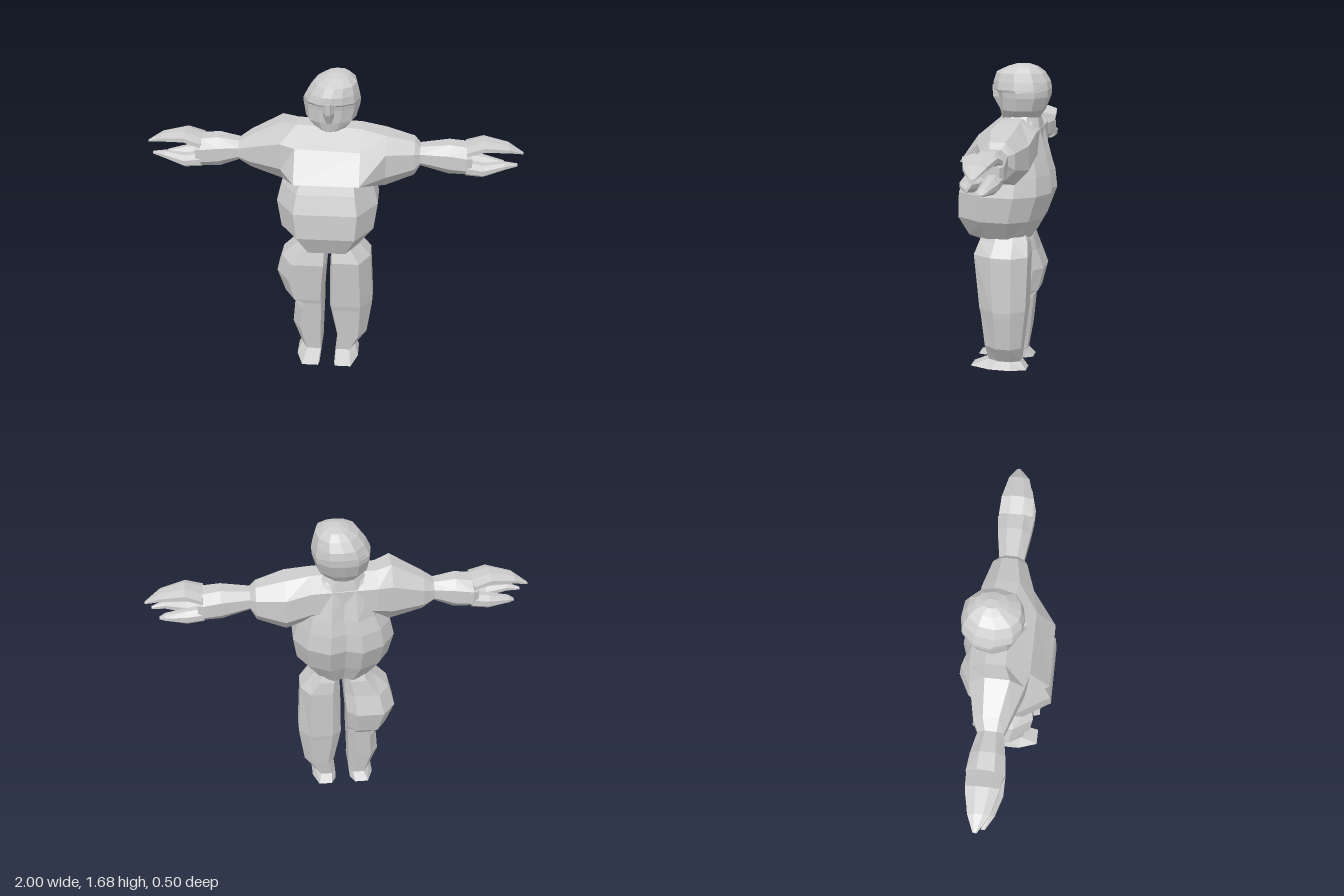
import * as THREE from 'three';

// Unit cross-sections; each point is [a, b] in -1..1
const chamfer = (c) => [[c, 1], [1, c], [1, -c], [c, -1], [-c, -1], [-1, -c], [-1, c], [-c, 1]];
const OCT = chamfer(0.45);
const FINGER = chamfer(0.4);
const CHEST = [[0.35, 0.5], [1, -0.1], [1, -0.6], [0.5, -1], [-0.5, -1], [-1, -0.7], [-1, 0.8], [-0.85, 1]];
const TORSO = [[0.62, 1], [1, 0.35], [1, -0.3], [0.75, -0.75], [0.32, -1], [0, -0.88],
  [-0.32, -1], [-0.75, -0.75], [-1, -0.3], [-1, 0.35], [-0.62, 1]];
const HEAD = [[0.4, 0.93], [0.82, 0.68], [1, 0.1], [0.88, -0.55], [0.45, -0.95], [-0.05, -1],
  [-0.5, -0.93], [-0.9, -0.5], [-1, 0.1], [-0.8, 0.68], [-0.4, 0.95], [0, 1]];
// Leg section: flat front and inner side, faceted outer side (s = outer direction)
const legSection = (s) => [[0.45, 1], [1, 0.3], [1, -0.45], [0.5, -1], [-0.6, -1], [-1, -0.7], [-1, 0.8], [-0.9, 1]]
  .map(([a, b]) => [a * s, b]);

// Faceted skin through rings [t, aMin, aMax, bMin, bMax, section?] along 'x' (a=y, b=z) or 'y' (a=x, b=z)
function loft(axis, section, rings) {
  const pos = [], idx = [], n = section.length, last = (rings.length - 1) * n;
  const put = (t, a, b) => (axis === 'x' ? pos.push(t, a, b) : pos.push(a, t, b));
  for (const [t, a0, a1, b0, b1, own] of rings)
    for (const [a, b] of own || section)
      put(t, (a0 + a1) / 2 + (a * (a1 - a0)) / 2, (b0 + b1) / 2 + (b * (b1 - b0)) / 2);
  for (let r = 0; r < last; r += n)
    for (let i = 0; i < n; i++) {
      const j = (i + 1) % n;
      idx.push(r + i, r + j, r + n + j, r + i, r + n + j, r + n + i);
    }
  for (let i = 1; i < n - 1; i++) idx.push(0, i + 1, i, last, last + i, last + i + 1);
  // Turn the faces outward when the signed volume is negative
  const v = (i) => new THREE.Vector3().fromArray(pos, i * 3);
  let volume = 0;
  for (let i = 0; i < idx.length; i += 3) volume += v(idx[i]).dot(v(idx[i + 1]).cross(v(idx[i + 2])));
  if (volume < 0) idx.reverse();
  const indexed = new THREE.BufferGeometry();
  indexed.setAttribute('position', new THREE.Float32BufferAttribute(pos, 3));
  indexed.setIndex(idx);
  const geometry = indexed.toNonIndexed();
  geometry.computeVertexNormals();
  return geometry;
}

export function createModel() {
  const model = new THREE.Group();
  model.name = 'figure';
  const grey = new THREE.MeshStandardMaterial({ color: 0xcccccc });
  grey.name = 'light grey';
  const add = (name, axis, section, rings) => {
    const mesh = new THREE.Mesh(loft(axis, section, rings), grey);
    mesh.name = name;
    model.add(mesh);
  };

  // Round belly and grooved back
  add('torso', 'y', TORSO, [
    [0.70, -0.08, 0.04, -0.06, 0.10],
    [0.75, -0.18, 0.14, -0.14, 0.20],
    [0.86, -0.27, 0.225, -0.20, 0.248],
    [1.00, -0.295, 0.245, -0.25, 0.24],
    [1.10, -0.27, 0.22, -0.24, 0.205],
    [1.18, -0.23, 0.20, -0.22, 0.17],
    [1.34, -0.20, 0.16, -0.18, 0.06],
    [1.40, -0.11, 0.07, -0.16, 0.01],
  ]);

  // Chest and upper arms in one span
  add('chestAndShoulders', 'x', OCT, [
    [-0.50, 1.19, 1.30, -0.10, 0.03],
    [-0.44, 1.155, 1.34, -0.13, 0.05],
    [-0.27, 1.11, 1.43, -0.165, 0.11],
    [-0.19, 1.15, 1.41, -0.18, 0.23, CHEST],
    [0.15, 1.15, 1.395, -0.18, 0.23, CHEST],
    [0.28, 1.085, 1.37, -0.17, 0.10],
    [0.43, 1.14, 1.33, -0.13, 0.05],
    [0.46, 1.19, 1.30, -0.10, 0.03],
  ]);

  // Forearms and open hands
  for (const [side, s, elbow] of [['left', 1, 0.455], ['right', -1, 0.495]]) {
    const limb = (name, section, rings) =>
      add(side + name, 'x', section, rings.map(([t, ...rest]) => [t * s, ...rest]));
    limb('Forearm', OCT, [
      [elbow, 1.195, 1.30, -0.10, 0.03],
      [0.61, 1.155, 1.32, -0.125, 0.05],
      [0.70, 1.155, 1.31, -0.135, 0.06],
      [0.73, 1.17, 1.30, -0.12, 0.05],
    ]);
    limb('UpperFingers', FINGER, [
      [0.70, 1.26, 1.31, -0.13, 0.05],
      [0.79, 1.285, 1.342, -0.125, 0.045],
      [0.92, 1.275, 1.315, -0.10, 0.01],
      [1.00, 1.255, 1.265, -0.065, -0.045],
    ]);
    limb('LowerFinger', FINGER, [
      [0.70, 1.16, 1.235, -0.13, -0.035],
      [0.79, 1.15, 1.225, -0.13, -0.045],
      [0.90, 1.165, 1.20, -0.105, -0.05],
      [0.93, 1.17, 1.18, -0.085, -0.06],
    ]);
    limb('Thumb', FINGER, [
      [0.70, 1.16, 1.235, -0.045, 0.06],
      [0.79, 1.155, 1.22, -0.035, 0.06],
      [0.90, 1.19, 1.23, -0.03, 0.03],
      [0.97, 1.20, 1.215, -0.03, -0.01],
    ]);
  }

  // Neck collar
  add('neck', 'y', OCT, [
    [1.33, -0.17, 0.13, -0.18, 0.05],
    [1.41, -0.12, 0.075, -0.165, 0.01],
    [1.45, -0.09, 0.06, -0.15, 0.0],
  ]);

  // Head with an overhanging brow
  add('head', 'y', HEAD, [
    [1.365, -0.07, 0.03, -0.14, 0.01],
    [1.39, -0.10, 0.07, -0.165, 0.035],
    [1.44, -0.148, 0.118, -0.20, 0.045],
    [1.51, -0.16, 0.138, -0.228, 0.05],
    [1.535, -0.16, 0.14, -0.23, 0.055],
    [1.55, -0.155, 0.14, -0.232, 0.08],
    [1.59, -0.135, 0.132, -0.225, 0.078],
    [1.635, -0.10, 0.12, -0.20, 0.06],
    [1.665, -0.05, 0.085, -0.165, 0.0],
    [1.68, -0.01, 0.04, -0.12, -0.05],
  ]);
  add('nose', 'y', FINGER, [
    [1.44, -0.04, 0.005, -0.02, 0.05],
    [1.50, -0.05, 0.01, -0.02, 0.085],
    [1.56, -0.045, 0.005, -0.02, 0.09],
  ]);

  // Left leg with foot
  add('leftLeg', 'y', legSection(1), [
    [0.78, 0.0, 0.12, -0.11, 0.12],
    [0.73, 0.0, 0.15, -0.13, 0.135],
    [0.66, -0.005, 0.21, -0.14, 0.158],
    [0.36, -0.01, 0.225, -0.13, 0.127],
    [0.33, -0.005, 0.222, -0.125, 0.12],
    [0.14, 0.03, 0.195, -0.105, 0.10],
    [0.045, 0.02, 0.13, -0.09, 0.09],
    [0.0, 0.018, 0.15, -0.125, 0.19],
  ]);

  // Right leg with a bulging thigh
  add('rightLeg', 'y', legSection(-1), [
    [0.78, -0.16, -0.03, -0.11, 0.12],
    [0.73, -0.19, -0.03, -0.13, 0.135],
    [0.64, -0.28, -0.03, -0.145, 0.158],
    [0.53, -0.31, -0.04, -0.18, 0.145],
    [0.40, -0.265, -0.05, -0.15, 0.132],
    [0.375, -0.19, -0.05, -0.13, 0.125],
    [0.33, -0.212, -0.05, -0.125, 0.12],
    [0.19, -0.225, -0.055, -0.11, 0.105],
    [0.045, -0.175, -0.06, -0.09, 0.09],
    [0.0, -0.20, -0.065, -0.125, 0.19],
  ]);

  return model;
}
